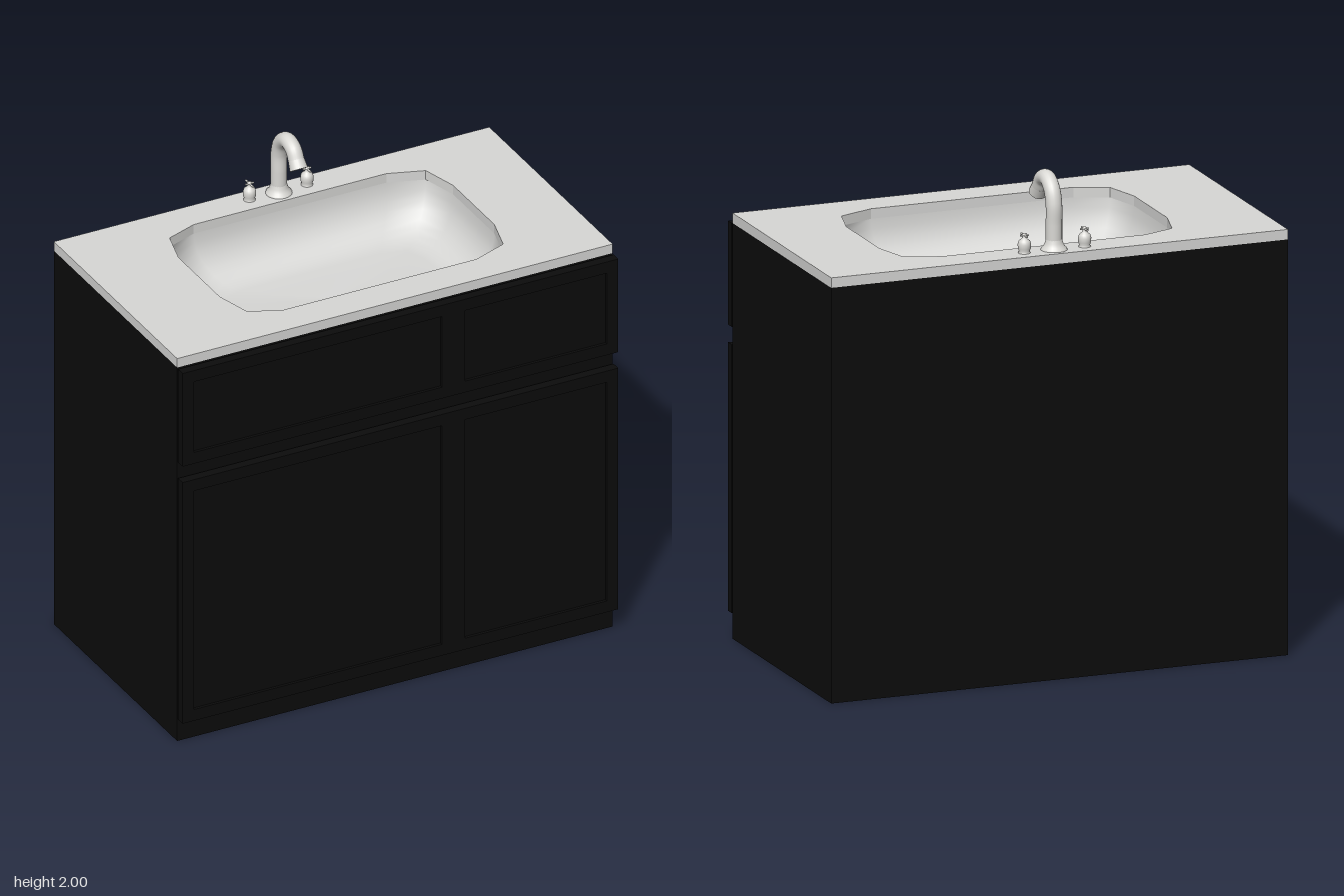
import * as THREE from 'three';

const black = new THREE.MeshStandardMaterial({ name: 'blackLacquer', color: 0x0c0c0c });
const stone = new THREE.MeshStandardMaterial({ name: 'paleStone', color: 0xd8d8d6 });
const metal = new THREE.MeshStandardMaterial({ name: 'satinMetal', color: 0xd9d8d4 });

const W = 0.948, BACK = -0.533, FACE = 0.487, FRONT = 0.533;
const CAB_TOP = 1.66, TOP = 1.7;

// Basin rim corners as [x, z], clockwise seen from above
const RIM = [
  [-0.58, -0.2], [-0.54, -0.35], [-0.41, -0.398], [0.43, -0.4], [0.575, -0.35], [0.615, -0.2],
  [0.615, 0.14], [0.575, 0.29], [0.43, 0.345], [-0.41, 0.345], [-0.54, 0.29], [-0.58, 0.14],
];

function add(parent, name, geometry, material, x = 0, y = 0, z = 0) {
  const mesh = new THREE.Mesh(geometry, material);
  mesh.name = name;
  mesh.position.set(x, y, z);
  parent.add(mesh);
  return mesh;
}

function rectangle(PathType, x0, y0, x1, y1) {
  return new PathType([[x0, y0], [x1, y0], [x1, y1], [x0, y1]].map(p => new THREE.Vector2(...p)));
}

// Shaker front: raised frame around a recessed panel
function shakerFront(parent, name, x0, x1, y0, y1) {
  const g = new THREE.Group();
  g.name = name;
  const f = 0.05, gap = 0.006, zFrame = FACE + 0.008;
  const shape = rectangle(THREE.Shape, x0, y0, x1, y1);
  shape.holes.push(rectangle(THREE.Path, x0 + f, y0 + f, x1 - f, y1 - f));
  add(g, 'frame', new THREE.ExtrudeGeometry(shape, { depth: FRONT - zFrame, bevelEnabled: false }),
    black, 0, 0, zFrame);
  const depth = FRONT - 0.012 - FACE;
  add(g, 'recessedPanel', new THREE.BoxGeometry(x1 - x0 - 2 * gap, y1 - y0 - 2 * gap, depth),
    black, (x0 + x1) / 2, (y0 + y1) / 2, FACE + depth / 2);
  parent.add(g);
}

// Basin lofted from shrinking copies of the rim
function basinGeometry() {
  const cx = 0.0175, cz = -0.0275, a = 0.5975, b = 0.3725, inset = 0.17, depth = 0.2;
  const rings = [];
  for (let k = 0; k <= 8; k++) {
    const t = (k / 8) * Math.PI / 2;
    const d = inset * (1 - Math.cos(t));
    rings.push([(a - d) / a, (b - d) / b, -depth * Math.sin(t)]);
  }
  const [sx, sz] = rings[8];
  for (const s of [0.66, 0.33, 0.02]) rings.push([sx * s, sz * s, -depth - 0.015 * (1 - s)]);
  const pos = [], index = [], n = RIM.length;
  for (const [kx, kz, y] of rings)
    for (const [x, z] of RIM) pos.push(cx + (x - cx) * kx, CAB_TOP + y, cz + (z - cz) * kz);
  for (let k = 0; k < rings.length - 1; k++)
    for (let i = 0; i < n; i++) {
      const p = k * n + i, q = k * n + (i + 1) % n;
      index.push(p, p + n, q, q, p + n, q + n);
    }
  const last = (rings.length - 1) * n;
  for (let i = 1; i < n - 1; i++) index.push(last, last + i + 1, last + i);
  const g = new THREE.BufferGeometry();
  g.setAttribute('position', new THREE.Float32BufferAttribute(pos, 3));
  g.setIndex(index);
  g.computeVertexNormals();
  return g;
}

function lathe(points, segments = 24) {
  return new THREE.LatheGeometry(points.map(p => new THREE.Vector2(...p)), segments);
}

function buildFaucet() {
  const g = new THREE.Group();
  g.name = 'faucet';
  // Flared foot
  add(g, 'foot', lathe([[0.052, 0], [0.05, 0.006], [0.041, 0.015], [0.035, 0.028], [0.031, 0.045]]),
    metal, 0, TOP, -0.465);
  // Gooseneck pipe
  const curve = new THREE.CatmullRomCurve3([
    [1.7, -0.465], [1.8, -0.465], [1.88, -0.464], [1.935, -0.443],
    [1.967, -0.395], [1.953, -0.345], [1.915, -0.319],
  ].map(([y, z]) => new THREE.Vector3(0, y, z)));
  add(g, 'gooseneck', new THREE.TubeGeometry(curve, 48, 0.032, 20), metal);
  // Slightly flared spout end
  const dir = curve.getTangent(1);
  const end = curve.getPoint(1).addScaledVector(dir, 0.015);
  const tip = add(g, 'spoutEnd', new THREE.CylinderGeometry(0.036, 0.032, 0.04, 20), metal, ...end.toArray());
  tip.quaternion.setFromUnitVectors(new THREE.Vector3(0, 1, 0), dir);
  return g;
}

// Tap handle: round body, neck and small cross on top
function buildHandle(name, x) {
  const g = new THREE.Group();
  g.name = name;
  add(g, 'body', lathe([[0.024, 0], [0.021, 0.008], [0.025, 0.018], [0.026, 0.035], [0.022, 0.048],
    [0.012, 0.056], [0.008, 0.062], [0.008, 0.07], [0.01, 0.076], [0, 0.079]], 20), metal);
  for (const [rx, rz] of [[Math.PI / 2, 0], [0, Math.PI / 2]]) {
    const bar = add(g, 'crossBar', new THREE.CylinderGeometry(0.004, 0.004, rx ? 0.06 : 0.034, 8), metal, 0, 0.07, 0);
    bar.rotation.set(rx, 0, rz);
  }
  g.position.set(x, TOP, -0.47);
  return g;
}

export function createModel() {
  const model = new THREE.Group();
  model.name = 'vanityUnit';

  // Open-topped cabinet carcass
  const t = 0.02, depth = FACE - BACK, mid = (FACE + BACK) / 2;
  const carcass = new THREE.Group();
  carcass.name = 'cabinet';
  model.add(carcass);
  for (const s of [-1, 1])
    add(carcass, s < 0 ? 'rightSide' : 'leftSide', new THREE.BoxGeometry(t, CAB_TOP, depth),
      black, s * (W - t / 2), CAB_TOP / 2, mid);
  for (const [name, z] of [['back', BACK + t / 2], ['faceBoard', FACE - t / 2]])
    add(carcass, name, new THREE.BoxGeometry(2 * (W - t), CAB_TOP, t), black, 0, CAB_TOP / 2, z);
  add(carcass, 'floor', new THREE.BoxGeometry(2 * (W - t), t, depth - 2 * t), black, 0, t / 2, mid);

  // Drawer and door fronts, in two columns
  for (const [side, x0, x1] of [['right', -W, 0.23], ['left', 0.23, W]]) {
    shakerFront(model, side + 'Drawer', x0, x1, 1.243, 1.657);
    shakerFront(model, side + 'Door', x0, x1, 0.1, 1.172);
  }

  // Countertop with basin cut-out
  const slab = rectangle(THREE.Shape, -W, -FACE, W, -BACK);
  slab.holes.push(new THREE.Path(RIM.map(([x, z]) => new THREE.Vector2(x, -z))));
  const slabGeometry = new THREE.ExtrudeGeometry(slab, { depth: TOP - CAB_TOP, bevelEnabled: false });
  slabGeometry.rotateX(-Math.PI / 2);
  add(model, 'countertop', slabGeometry, stone, 0, CAB_TOP, 0);
  add(model, 'basin', basinGeometry(), stone);

  // Taps
  const taps = new THREE.Group();
  taps.name = 'taps';
  taps.position.x = -0.004;
  taps.add(buildFaucet(), buildHandle('rightHandle', -0.125), buildHandle('leftHandle', 0.125));
  model.add(taps);
  return model;
}
